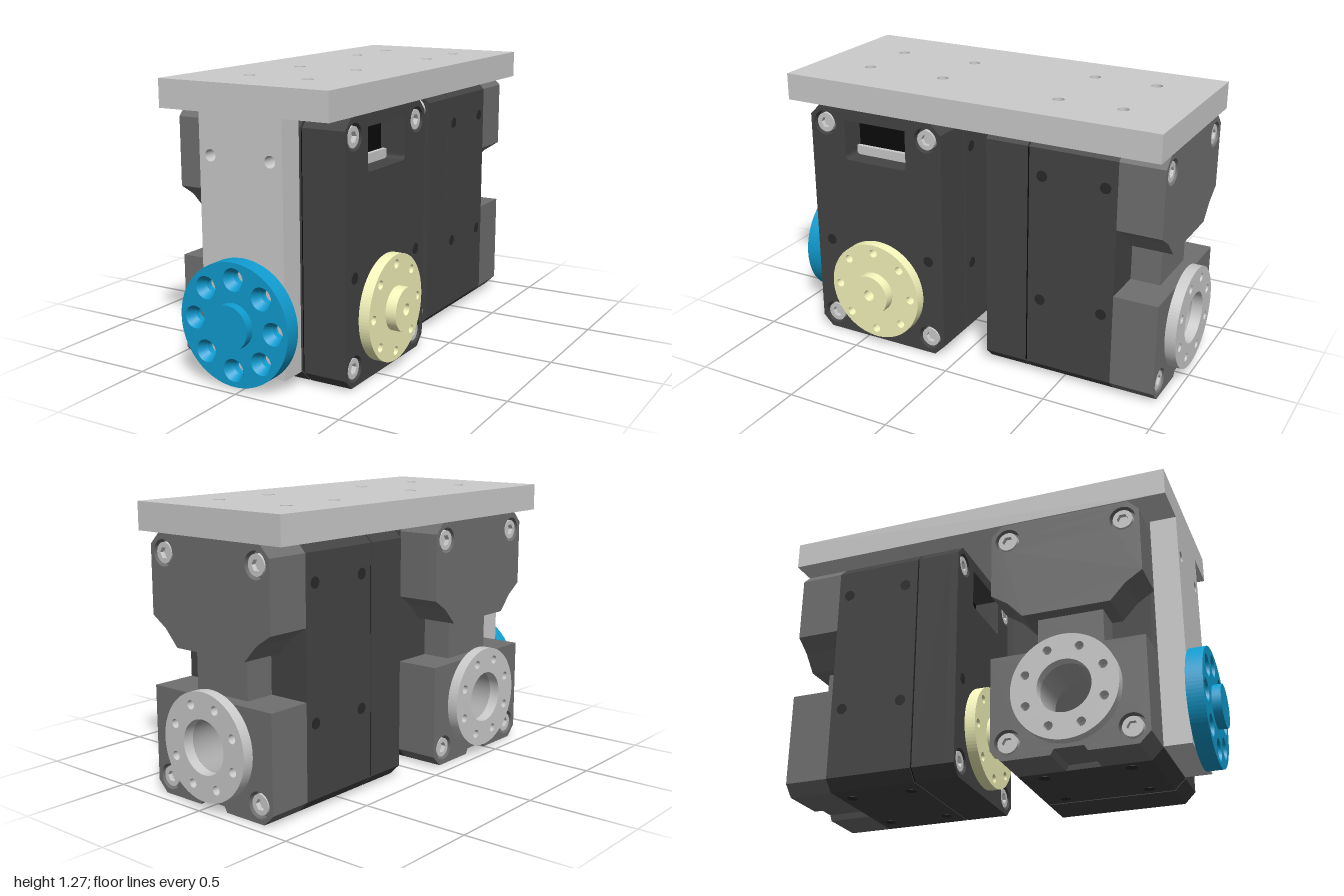
import * as THREE from 'three';

const mat = (color, side = THREE.FrontSide) => new THREE.MeshStandardMaterial({ color, side });
const GREY = mat(0xcccccc), CASE = mat(0x444444), REAR = mat(0x707070), DARK = mat(0x2a2a2a);
const BLACK = mat(0x0a0a0a), BLUE = mat(0x109cd0), BLUE2 = mat(0x109cd0, THREE.DoubleSide), CREAM = mat(0xf6f6bc);
const TUBE = mat(0xaaaaaa, THREE.DoubleSide);

const W = 0.347, H = 1.145, C = 0.05, AXIS = 0.28; // half width, height, corner cut and shaft height of a motor

function add(parent, name, geo, material, x = 0, y = 0, z = 0) {
  const m = new THREE.Mesh(geo, material);
  m.name = name;
  m.position.set(x, y, z);
  parent.add(m);
  return m;
}
const poly = pts => new THREE.Shape(pts.map(p => new THREE.Vector2(...p)));
const circle = (x, y, r) => new THREE.Path().absarc(x, y, r, 0, Math.PI * 2, true);
const disc = r => new THREE.Shape().absarc(0, 0, r, 0, Math.PI * 2, false);
const rect = (x0, x1, y0, y1) => poly([[x0, y0], [x1, y0], [x1, y1], [x0, y1]]);
const ringHoles = (n, R, r, a0 = 0) => Array.from({ length: n }, (_, i) => {
  const a = a0 + i * Math.PI * 2 / n;
  return circle(R * Math.cos(a), R * Math.sin(a), r);
});
// Extrude an outline with holes between two depths
function slab(shape, holes, z0, z1, seg = 24) {
  const s = shape.clone();
  s.holes = holes;
  return new THREE.ExtrudeGeometry(s, { depth: z1 - z0, bevelEnabled: false, curveSegments: seg }).translate(0, 0, z0);
}
const cyl = (r, h, axis = 'z') => {
  const g = new THREE.CylinderGeometry(r, r, h, 32);
  if (axis === 'z') g.rotateX(Math.PI / 2);
  if (axis === 'x') g.rotateZ(Math.PI / 2);
  return g;
};

// Socket screw seated in its counterbore, facing +z
function screw(parent, x, y, z, dir) {
  const g = new THREE.Group();
  g.name = 'socketScrew';
  add(g, 'screwHead', slab(disc(0.045), [new THREE.Path(
    Array.from({ length: 6 }, (_, i) => new THREE.Vector2(0.026 * Math.cos(-i * Math.PI / 3), 0.026 * Math.sin(-i * Math.PI / 3))))],
  -0.035, -0.006), GREY);
  add(g, 'socketFloor', cyl(0.028, 0.01), GREY, 0, 0, -0.033);
  g.position.set(x, y, z);
  if (dir < 0) g.rotation.y = Math.PI;
  parent.add(g);
}

// Motor: shaft face at z = 0 looking along +z, back face at z = -0.825
function createMotor(name) {
  const g = new THREE.Group();
  g.name = name;
  const D = 0.825, F = -0.205, B = -0.62, skin = 0.04;
  const outline = poly([[-W + C, 0], [W - C, 0], [W, C], [W, H - C], [W - C, H], [-W + C, H], [-W, H - C], [-W, C]]);
  const corners = y => [-0.27, 0.27].map(x => circle(x, y, 0.058));

  // Cable window in the front case
  const slot = new THREE.Path().moveTo(-0.163, 1.09).lineTo(0.163, 1.09).lineTo(0.163, 0.925)
    .quadraticCurveTo(0.163, 0.9, 0.138, 0.9).lineTo(-0.138, 0.9).quadraticCurveTo(-0.163, 0.9, -0.163, 0.925).lineTo(-0.163, 1.09);
  add(g, 'frontCaseFace', slab(outline, [...corners(0.08), ...corners(1.062), slot], -skin, 0), CASE);
  add(g, 'frontCase', slab(outline, [slot], F + 0.004, -skin), CASE);
  add(g, 'windowBack', new THREE.BoxGeometry(0.36, 0.21, 0.02), BLACK, 0, 0.995, -0.13);
  add(g, 'windowSill', new THREE.BoxGeometry(0.32, 0.043, 0.02), GREY, 0, 0.922, -0.1);

  // Seam and middle case
  add(g, 'caseSeam', slab(outline, [], F - 0.004, F + 0.004).scale(0.985, 0.99, 1).translate(0, 0.005, 0), BLACK);
  add(g, 'middleCase', slab(outline, [], B, F - 0.004), CASE);

  // Rear blocks with the recessed neck between them
  const upper = poly([[-0.2, 0.665], [0.2, 0.665], [0.27, 0.74], [W, 0.79], [W, H - C], [W - C, H],
    [-W + C, H], [-W, H - C], [-W, 0.79], [-0.27, 0.74]]);
  const lower = poly([[-W + C, 0], [-0.08, 0], [-0.065, 0.025], [0.065, 0.025], [0.08, 0], [W - C, 0], [W, C],
    [W, 0.48], [-W, 0.48], [-W, C]]);
  const bore = circle(0, AXIS, 0.125);
  add(g, 'upperRearBlock', slab(upper, [], -D + skin, B), REAR);
  add(g, 'upperRearFace', slab(upper, corners(1.062), -D, -D + skin), REAR);
  add(g, 'lowerRearBlock', slab(lower, [bore], -D + skin, B), REAR);
  add(g, 'lowerRearFace', slab(lower, [bore, ...corners(0.08)], -D, -D + skin), REAR);
  add(g, 'rearNeck', slab(rect(-0.15, 0.15, 0.45, 0.7), [], -D + 0.065, B), REAR);

  for (const x of [-0.27, 0.27]) {
    for (const y of [0.08, 1.062]) {
      screw(g, x, y, 0, 1);
      screw(g, x, y, -D, -1);
    }
    add(g, 'facePinHole', cyl(0.025, 0.004), DARK, x, 0.475, 0);
  }
  // Mounting holes on the sides and underside
  for (const z of [-0.27, -0.565]) for (const s of [-1, 1]) {
    for (const y of [0.38, 0.97]) add(g, 'sideMountHole', cyl(0.025, 0.004, 'x'), DARK, s * W, y, z);
    add(g, 'bottomMountHole', cyl(0.025, 0.004, 'y'), DARK, s * 0.195, 0, z);
  }

  // Output horn with hub
  const horn = new THREE.Group();
  horn.name = 'outputHorn';
  horn.position.y = AXIS;
  add(horn, 'hornDisc', slab(disc(0.238), [circle(0, 0, 0.027), ...ringHoles(8, 0.197, 0.02)], 0, 0.05, 48), CREAM);
  add(horn, 'hornHub', slab(disc(0.098), [circle(0, 0, 0.027)], 0.05, 0.1, 32), CREAM);
  g.add(horn);

  // Idler ring on the back and its bearing sleeve
  const idler = new THREE.Group();
  idler.name = 'idler';
  idler.position.set(0, AXIS, -D);
  add(idler, 'idlerRing', slab(disc(0.238), [circle(0, 0, 0.12), ...ringHoles(8, 0.185, 0.02, Math.PI / 8)], -0.05, 0, 48), GREY);
  add(idler, 'bearingSleeve', new THREE.CylinderGeometry(0.12, 0.12, 0.2, 40, 1, true).rotateX(Math.PI / 2), TUBE, 0, 0, 0.1);
  g.add(idler);
  return g;
}

// Blue coupling disc with countersunk holes
function createCoupling() {
  const g = new THREE.Group();
  g.name = 'couplingDisc';
  const a0 = -0.02, R = 0.197;
  add(g, 'couplingFront', slab(disc(0.27), ringHoles(8, R, 0.05, a0), 0.03, 0.075, 48), BLUE);
  add(g, 'couplingBack', slab(disc(0.27), ringHoles(8, R, 0.028, a0), 0, 0.03, 48), BLUE);
  add(g, 'couplingHub', cyl(0.098, 0.04), BLUE, 0, 0, 0.095);
  const cone = new THREE.CylinderGeometry(0.05, 0.028, 0.045, 24, 1, true).rotateX(Math.PI / 2);
  for (let i = 0; i < 8; i++) {
    const a = a0 + i * Math.PI / 4;
    add(g, 'countersink', cone, BLUE2, R * Math.cos(a), R * Math.sin(a), 0.0525);
  }
  return g;
}

export function createModel() {
  const model = new THREE.Group();
  model.name = 'twoAxisActuator';

  // Two motors at right angles
  const front = createMotor('frontMotor');
  front.rotation.y = Math.PI / 2;
  front.position.set(0.39, 0, 0.418);
  const back = createMotor('backMotor');
  back.position.set(-0.03, 0, -0.118);
  model.add(front, back);

  // Top plate, outlined in (x, -z) and laid flat
  const holes = [[-0.225, -0.685], [0.165, -0.685], [-0.225, -0.387], [0.165, -0.387],
    [-0.175, 0.215], [0.12, 0.215], [-0.175, 0.61], [0.12, 0.61]].map(([x, z]) => circle(x, -z, 0.026));
  add(model, 'topPlate', slab(rect(-0.442, 0.392, -0.887, 0.945), holes, H, 1.27).rotateX(-Math.PI / 2), GREY);

  // Front plate hanging from the top plate
  add(model, 'frontPlate', slab(rect(-0.235, 0.175, 0.052, H),
    [-0.18, 0.115].map(x => circle(x, 0.967, 0.026)), 0.766, 0.887), GREY);

  const coupling = createCoupling();
  coupling.position.set(-0.03, AXIS, 0.887);
  model.add(coupling);
  return model;
}
